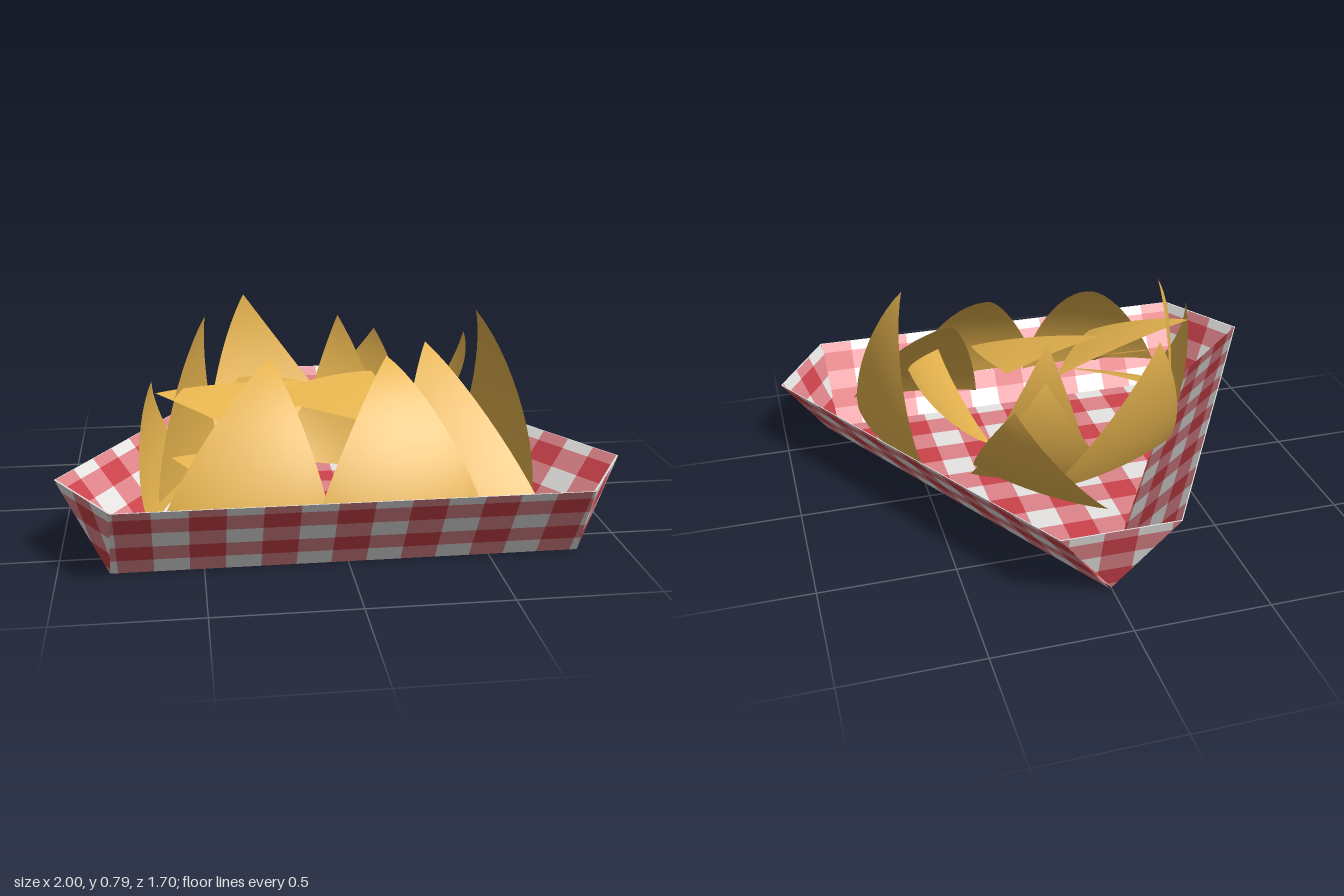
import * as THREE from 'three';

const V = (x, y, z) => new THREE.Vector3(x, y, z);
const material = (name, color) => {
  const m = new THREE.MeshStandardMaterial({ color, side: THREE.DoubleSide });
  m.name = name;
  return m;
};

function meshFrom(name, positions, mat) {
  const g = new THREE.BufferGeometry();
  g.setAttribute('position', new THREE.Float32BufferAttribute(positions, 3));
  g.computeVertexNormals();
  const mesh = new THREE.Mesh(g, mat);
  mesh.name = name;
  return mesh;
}

// Keep the part of a 2D polygon where sign * p[axis] >= sign * limit
function clip(poly, axis, limit, sign) {
  const out = [];
  poly.forEach((p, i) => {
    const q = poly[(i + 1) % poly.length];
    const dp = sign * (p[axis] - limit), dq = sign * (q[axis] - limit);
    if (dp >= 0) out.push(p);
    if (dp * dq < 0) {
      const t = dp / (dp - dq);
      out.push([p[0] + (q[0] - p[0]) * t, p[1] + (q[1] - p[1]) * t]);
    }
  });
  return out;
}

// Cut a flat convex face into checks of w by h; buckets are [white, pink, red]
function gingham(points, buckets, w, h) {
  const u = points[1].clone().sub(points[0]).normalize();
  const n = u.clone().cross(points[2].clone().sub(points[0])).normalize();
  const v = n.clone().cross(u);
  const o = points[0].clone().add(points[1]).multiplyScalar(0.5);
  const flat = points.map(p => {
    const d = p.clone().sub(o);
    return [d.dot(u), d.dot(v)];
  });
  for (let i = -10; i <= 10; i++) {
    const column = clip(clip(flat, 0, (i - 0.5) * w, 1), 0, (i + 0.5) * w, -1);
    for (let j = 0; j < 18 && column.length > 2; j++) {
      const cell = clip(clip(column, 1, (j - 0.5) * h, 1), 1, (j + 0.5) * h, -1);
      const tone = (i % 2 === 0 ? 1 : 0) + (j % 2);
      const p = cell.map(c => o.clone().addScaledVector(u, c[0]).addScaledVector(v, c[1]));
      for (let k = 2; k < p.length; k++) {
        for (const c of [p[0], p[k - 1], p[k]]) buckets[tone].push(c.x, c.y, c.z);
      }
    }
  }
}

// Bowed triangular chip with slightly rounded sides, swelling away from the middle of the tray
function chip(tip, b, c, bulge, mat) {
  const [A, B, C] = [tip, b, c].map(p => V(...p));
  const n = B.clone().sub(A).cross(C.clone().sub(A)).normalize();
  const centroid = A.clone().add(B).add(C).divideScalar(3);
  if (n.dot(centroid.clone().sub(V(0, 0.1, 0.12))) < 0) {
    n.negate();
    [B.x, B.y, B.z, C.x, C.y, C.z] = [C.x, C.y, C.z, B.x, B.y, B.z];
  }
  const N = 12, pos = [], index = [];
  const id = (r, s) => r * (r + 1) / 2 + s;
  for (let r = 0; r <= N; r++) {
    for (let s = 0; s <= r; s++) {
      const wa = 1 - r / N, wc = s / N, wb = 1 - wa - wc;
      const p = V(0, 0, 0).addScaledVector(A, wa).addScaledVector(B, wb).addScaledVector(C, wc);
      const spread = p.clone().sub(centroid);
      p.addScaledVector(spread, 0.4 * (wa * wb + wb * wc + wc * wa))
        .addScaledVector(n, bulge * (3 * wa * (1 - wa) + 1.5 * wb * wc));
      pos.push(p.x, p.y, p.z);
      if (r < N) index.push(id(r, s), id(r + 1, s), id(r + 1, s + 1));
      if (r < N && s < r) index.push(id(r, s), id(r + 1, s + 1), id(r, s + 1));
    }
  }
  const g = new THREE.BufferGeometry();
  g.setAttribute('position', new THREE.Float32BufferAttribute(pos, 3));
  g.setIndex(index);
  g.computeVertexNormals();
  return new THREE.Mesh(g, mat);
}

export function createModel() {
  const model = new THREE.Group();
  model.name = 'chipTray';
  const white = material('paperWhite', 0xebe9e8);
  const pink = material('checkPink', 0xde848a);
  const red = material('checkRed', 0xcc434b);
  const corn = material('cornYellow', 0xeab750);

  // Paper tray: six-sided rim narrowing to a three-cornered floor
  const rim = [[0.215, -0.85], [1, 0.51], [0.8, 0.85], [-0.8, 0.85], [-1, 0.51], [-0.215, -0.85]];
  const outerTop = rim.map(([x, z]) => V(x, 0.3, z));
  const innerTop = rim.map(([x, z]) => V(x * 0.994, 0.3, z * 0.994));
  const outerFloor = [V(0, 0, -0.76), V(0.82, 0, 0.64), V(-0.82, 0, 0.64)];
  const innerFloor = [V(0, 0.012, -0.7), V(0.775, 0.012, 0.62), V(-0.775, 0.012, 0.62)];
  const foot = [0, 1, 1, 2, 2, 0];
  const outside = [[], [], []], inside = [[], [], []];
  const unique = list => [...new Set(list)];
  const wall = [0.122, 0.082], base = [0.115, 0.115];
  for (let k = 0; k < 6; k++) {
    const m = (k + 1) % 6;
    gingham(unique([outerTop[k], outerTop[m], outerFloor[foot[m]], outerFloor[foot[k]]]), outside, ...wall);
    gingham(unique([innerTop[m], innerTop[k], innerFloor[foot[k]], innerFloor[foot[m]]]), inside, ...wall);
    // Paper edge
    for (const p of [outerTop[k], innerTop[k], innerTop[m], outerTop[k], innerTop[m], outerTop[m]]) {
      outside[0].push(p.x, p.y, p.z);
    }
  }
  gingham([outerFloor[1], outerFloor[2], outerFloor[0]], outside, ...base);
  gingham([innerFloor[2], innerFloor[1], innerFloor[0]], inside, ...base);
  const tray = new THREE.Group();
  tray.name = 'paperTray';
  [white, pink, red].forEach((mat, i) => {
    const tone = ['White', 'Pink', 'Red'][i];
    tray.add(meshFrom('outer' + tone + 'Checks', outside[i], mat));
    tray.add(meshFrom('inner' + tone + 'Checks', inside[i], mat));
  });
  model.add(tray);

  // Chips: tip, two base corners, bulge
  const chips = {
    frontRightChip: [[-0.24, 0.65, 0.31], [-0.65, 0.14, 0.61], [-0.06, 0.14, 0.68], 0.1],
    frontLeftChip: [[0.18, 0.65, 0.32], [-0.13, 0.14, 0.69], [0.48, 0.14, 0.64], 0.1],
    cornerLeftChip: [[0.36, 0.65, 0.13], [0.7, 0.14, 0.62], [0.18, 0.13, 0.56], 0.06],
    leftWallChip: [[0.53, 0.785, 0.21], [0.7, 0.17, 0.47], [0.53, 0.17, -0.06], 0.07],
    rightWallChip: [[-0.46, 0.765, 0.1], [-0.65, 0.17, 0.44], [-0.41, 0.17, -0.18], 0.04],
    cornerRightChip: [[-0.66, 0.58, 0.3], [-0.68, 0.14, 0.6], [-0.51, 0.14, 0.04], 0.05],
    backRightChip: [[-0.29, 0.74, -0.38], [-0.45, 0.18, -0.13], [0.12, 0.18, -0.36], 0.06],
    backMiddleChip: [[0.07, 0.69, -0.18], [-0.12, 0.12, -0.1], [0.3, 0.12, -0.02], 0.07],
    backLeftChip: [[0.26, 0.57, -0.44], [-0.06, 0.17, -0.53], [0.34, 0.17, -0.1], 0.05],
    innerBackChip: [[0.1, 0.575, -0.27], [-0.16, 0.12, -0.2], [0.35, 0.12, -0.08], 0.06],
    leaningLeftChip: [[0.57, 0.62, -0.13], [0.38, 0.47, 0.32], [0.25, 0.2, -0.02], 0.05],
    topRightChip: [[-0.65, 0.51, 0.22], [-0.02, 0.46, -0.02], [-0.3, 0.4, 0.46], 0.02],
    topMiddleChip: [[-0.27, 0.48, 0.23], [0.18, 0.5, -0.02], [0.22, 0.4, 0.45], 0.02],
    innerRightChip: [[-0.33, 0.45, -0.16], [-0.02, 0.46, 0.05], [-0.4, 0.3, 0.2], 0.02],
    lowerRightChip: [[-0.6, 0.31, 0.36], [-0.15, 0.3, 0.36], [-0.36, 0.2, 0.56], 0.02],
  };
  const pile = new THREE.Group();
  pile.name = 'chips';
  for (const [name, [tip, b, c, bulge]] of Object.entries(chips)) {
    const mesh = chip(tip, b, c, bulge, corn);
    mesh.name = name;
    pile.add(mesh);
  }
  model.add(pile);
  return model;
}
